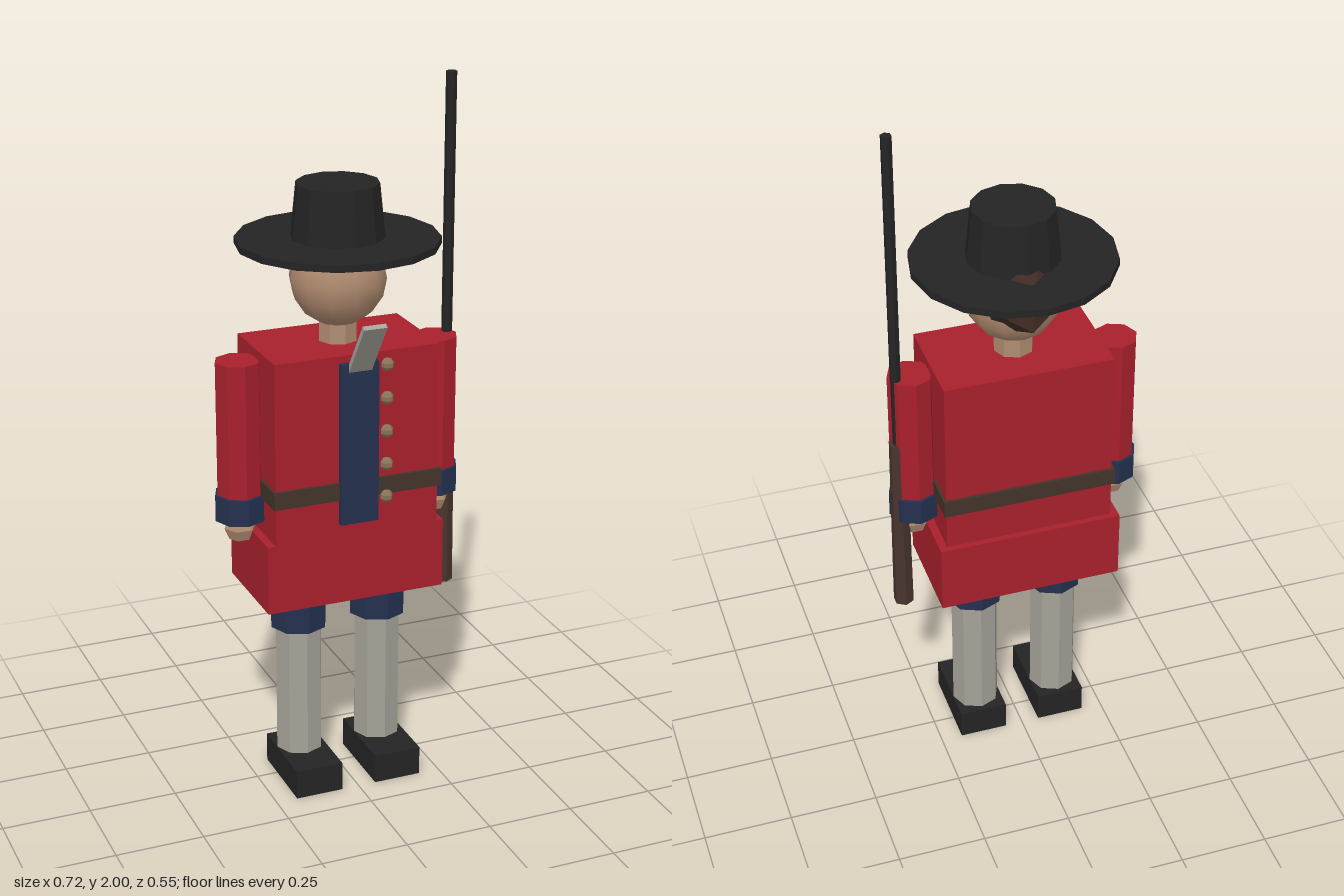
import * as THREE from 'three';

const paint = (name, color) => {
  const m = new THREE.MeshStandardMaterial({ color });
  m.name = name;
  return m;
};

// Faceted copy of a geometry, so low-poly parts keep hard edges
function facet(geometry) {
  const g = geometry.index ? geometry.toNonIndexed() : geometry;
  g.computeVertexNormals();
  return g;
}

export function createModel() {
  const red = paint('coat red', 0xa8202c);
  const navy = paint('navy cloth', 0x24304f);
  const skin = paint('skin', 0xb08b70);
  const black = paint('black felt', 0x242424);
  const grey = paint('stocking grey', 0xa5a298);
  const leather = paint('leather brown', 0x42342a);
  const hairBrown = paint('hair brown', 0x402b23);
  const brass = paint('button bronze', 0x8a7358);
  const wood = paint('stock wood', 0x47352c);

  const model = new THREE.Group();
  model.name = 'soldier';

  const add = (name, geometry, material, x, y, z) => {
    const mesh = new THREE.Mesh(geometry, material);
    mesh.name = name;
    mesh.position.set(x, y, z);
    model.add(mesh);
    return mesh;
  };
  // Box given by its size, lower height and centre
  const box = (name, material, w, h, d, x, y, z) =>
    add(name, new THREE.BoxGeometry(w, h, d), material, x, y + h / 2, z);
  // Upright faceted column between two heights
  const column = (name, material, rTop, rBottom, y0, y1, sides, x = 0, z = 0) =>
    add(name, facet(new THREE.CylinderGeometry(rTop, rBottom, y1 - y0, sides)), material, x, (y0 + y1) / 2, z);

  // Coat, skirt, belt and front panel
  box('coat', red, 0.475, 0.54, 0.285, 0, 0.76, 0);
  box('coatSkirt', red, 0.52, 0.2, 0.298, 0, 0.58, -0.011);
  box('belt', leather, 0.49, 0.05, 0.302, 0, 0.89, 0);
  box('frontPanel', navy, 0.11, 0.46, 0.03, 0, 0.82, 0.145);

  // Row of buttons beside the panel
  for (let i = 0; i < 5; i++) {
    add('button', facet(new THREE.SphereGeometry(0.019, 6, 5)), brass, 0.08, 1.265 - i * 0.095, 0.155);
  }

  // Tilted strip at the collar
  const strip = box('collarStrip', grey, 0.066, 0.19, 0.014, 0, 1.236, 0.202);
  strip.rotation.x = 0.6;

  // Head, neck and hair
  column('neck', skin, 0.055, 0.055, 1.28, 1.4, 8);
  add('head', new THREE.SphereGeometry(0.133, 12, 8), skin, 0, 1.475, 0);
  add('hair', new THREE.IcosahedronGeometry(0.13, 0), hairBrown, 0, 1.515, -0.055);

  // Hat
  column('hatBrim', black, 0.277, 0.277, 1.567, 1.587, 16);
  column('hatCrown', black, 0.113, 0.129, 1.58, 1.735, 12);

  // Arms and legs, mirrored
  for (const s of [-1, 1]) {
    column('sleeve', red, 0.063, 0.063, 0.86, 1.275, 8, s * 0.29);
    column('cuff', navy, 0.072, 0.072, 0.82, 0.895, 8, s * 0.288);
    add('hand', facet(new THREE.SphereGeometry(0.045, 6, 4)), skin, s * 0.29, 0.793, 0);
    column('breeches', navy, 0.082, 0.082, 0.47, 0.62, 8, s * 0.12);
    column('stocking', grey, 0.068, 0.068, 0.06, 0.48, 8, s * 0.12);
    box('shoe', black, 0.138, 0.085, 0.242, s * 0.12, 0, 0.038);
  }

  // Long gun held at the left side
  column('gunStock', wood, 0.025, 0.029, 0.52, 1.07, 6, 0.334, -0.018);
  column('gunBarrel', black, 0.015, 0.015, 1.0, 2.0, 6, 0.334, -0.018);

  return model;
}
